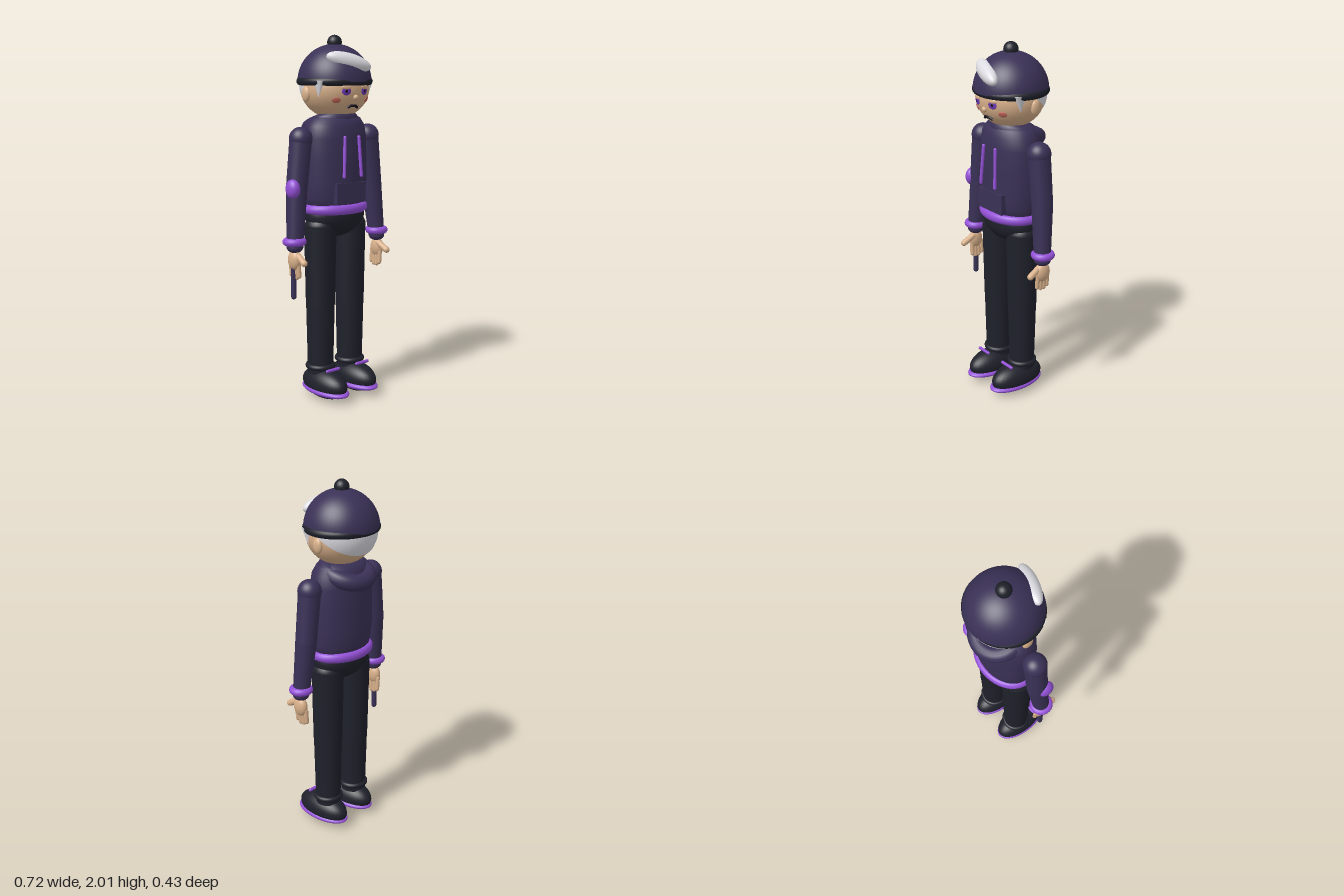
import * as THREE from 'three';

const mat = (name, color, side = THREE.FrontSide) => {
  const m = new THREE.MeshStandardMaterial({ color, side });
  m.name = name;
  return m;
};

export function createModel() {
  const root = new THREE.Group();
  root.name = 'figure';
  const cloth = mat('dark violet cloth', 0x3a3156);
  const black = mat('charcoal', 0x1f212b);
  const purple = mat('purple trim', 0x9350d6);
  const skin = mat('skin', 0xd8b08a);
  const white = mat('pale hair', 0xdcdce2, THREE.DoubleSide);
  const blush = mat('blush', 0xc46a5c);
  const ink = mat('ink', 0x17141f);
  const iris = mat('iris', 0x7038b8);

  const V = (x, y, z) => new THREE.Vector3(x, y, z);
  const add = (name, geo, material, x = 0, y = 0, z = 0, parent = root) => {
    const m = new THREE.Mesh(geo, material);
    m.name = name;
    m.position.set(x, y, z);
    parent.add(m);
    return m;
  };
  // Ellipsoid with radii r
  const ball = (name, material, p, r, parent) => {
    const m = add(name, new THREE.SphereGeometry(1, 32, 20), material, ...p, parent);
    m.scale.set(...r);
    return m;
  };
  // Tapered round bar between two points
  const limb = (name, material, a, b, ra, rb, parent) => {
    const A = V(...a), B = V(...b), d = B.clone().sub(A);
    const m = add(name, new THREE.CylinderGeometry(rb, ra, d.length(), 28), material,
      ...A.clone().add(B).multiplyScalar(0.5).toArray(), parent);
    m.quaternion.setFromUnitVectors(V(0, 1, 0), d.normalize());
    return m;
  };
  // Round-ended bar
  const capsule = (name, material, a, b, r, parent) => {
    const A = V(...a), B = V(...b), d = B.clone().sub(A);
    const m = add(name, new THREE.CapsuleGeometry(r, d.length(), 6, 14), material,
      ...A.clone().add(B).multiplyScalar(0.5).toArray(), parent);
    m.quaternion.setFromUnitVectors(V(0, 1, 0), d.normalize());
    return m;
  };
  // Horizontal ring
  const ring = (name, material, p, R, t, parent, depth = 1) => {
    const m = add(name, new THREE.TorusGeometry(R, t, 16, 48).rotateX(Math.PI / 2), material, ...p, parent);
    m.scale.z = depth;
    return m;
  };

  // Head
  const hc = V(0, 1.71, -0.01), hr = V(0.193, 0.16, 0.177);
  ball('head', skin, hc.toArray(), hr.toArray());
  // Thin plate lying on the face at x, y
  const onFace = (name, material, x, y, rx, ry, lift = 0, thick = 0.005) => {
    const u = x / hr.x, v = (y - hc.y) / hr.y;
    const w = Math.sqrt(1 - u * u - v * v);
    const n = V(u / hr.x, v / hr.y, w / hr.z).normalize();
    const p = V(x, y, hc.z + w * hr.z).addScaledVector(n, lift);
    const m = ball(name, material, p.toArray(), [rx, ry, thick]);
    m.lookAt(p.clone().add(n));
    return m;
  };
  for (const s of [-1, 1]) {
    onFace('eye', iris, s * 0.062, 1.702, 0.026, 0.022, 0.001);
    onFace('pupil', ink, s * 0.062, 1.702, 0.011, 0.011, 0.003, 0.004);
    onFace('eyelid', skin, s * 0.062, 1.722, 0.029, 0.012, 0.003, 0.006);
    onFace('cheek', blush, s * 0.105, 1.655, 0.024, 0.017);
    ball('ear', skin, [s * 0.19, 1.685, -0.025], [0.018, 0.042, 0.03]);
    // Pointed lock in front of the ear
    const lock = add('sideLock', new THREE.ConeGeometry(0.042, 0.09, 20), white, s * 0.172, 1.712, 0.06);
    lock.rotation.x = Math.PI;
    lock.scale.x = 0.5;
  }
  ball('nose', skin, [0, 1.668, 0.163], [0.015, 0.015, 0.013]);
  const lips = new THREE.CatmullRomCurve3([V(-0.034, 1.614, 0.132), V(-0.018, 1.623, 0.139),
    V(0.018, 1.623, 0.139), V(0.034, 1.614, 0.132)]);
  add('mouth', new THREE.TubeGeometry(lips, 16, 0.008, 8), ink);

  // Hair at the back, a tilted half shell
  const hair = add('backHair', new THREE.SphereGeometry(0.194, 40, 16, 0, Math.PI * 2, 0, Math.PI / 2),
    white, 0, 1.74, -0.014);
  hair.rotation.x = -0.63;

  // Cap
  add('capDome', new THREE.SphereGeometry(0.202, 48, 20, 0, Math.PI * 2, 0, Math.PI / 2),
    cloth, 0, 1.75, -0.015);
  ring('capRim', black, [0, 1.752, -0.015], 0.19, 0.022, root, 0.95);
  ball('capButton', black, [0, 1.96, -0.015], [0.04, 0.04, 0.04]);
  ball('capPatch', white, [-0.02, 1.855, 0.128], [0.13, 0.046, 0.045]).rotation.set(0, -0.35, -0.25);

  // Hoodie body
  const profile = [[0, 1.575], [0.11, 1.572], [0.155, 1.555], [0.182, 1.515], [0.194, 1.45], [0.196, 1.35],
    [0.197, 1.2], [0.188, 1.12], [0.172, 1.05], [0, 1.05]].reverse();
  add('hoodieBody', new THREE.LatheGeometry(profile.map(p => new THREE.Vector2(...p)), 48),
    cloth, 0, 0, -0.012).scale.z = 0.71;
  ring('hood', cloth, [0, 1.515, -0.055], 0.115, 0.046).rotation.x = -0.33;
  ring('hoodieHem', purple, [0, 1.062, -0.012], 0.173, 0.027, root, 0.76);
  add('frontPocket', new THREE.BoxGeometry(0.2, 0.112, 0.04), cloth, 0, 1.153, 0.112);
  capsule('drawstring', purple, [-0.049, 1.455, 0.132], [-0.063, 1.245, 0.143], 0.009);
  capsule('drawstring', purple, [0.049, 1.455, 0.132], [0.059, 1.245, 0.143], 0.009);

  // Hips
  ball('hips', black, [0, 1.02, -0.012], [0.187, 0.122, 0.124]);

  for (const s of [-1, 1]) {
    // Leg
    const leg = new THREE.Group();
    leg.name = s > 0 ? 'leftLeg' : 'rightLeg';
    root.add(leg);
    ball('legTop', black, [s * 0.106, 0.96, -0.01], [0.089, 0.07, 0.089], leg);
    limb('thigh', black, [s * 0.106, 0.97, -0.01], [s * 0.107, 0.52, -0.01], 0.09, 0.081, leg);
    limb('shin', black, [s * 0.107, 0.53, -0.01], [s * 0.107, 0.13, -0.01], 0.08, 0.071, leg);
    ring('trouserCuff', black, [s * 0.107, 0.17, -0.01], 0.069, 0.016, leg);
    // Shoe
    ball('shoe', black, [s * 0.107, 0.075, 0.028], [0.085, 0.085, 0.17], leg);
    ball('sole', purple, [s * 0.106, 0.04, 0.033], [0.09, 0.031, 0.178], leg);
    capsule('shoeStrap', purple, [s * 0.107 - 0.04, 0.166, 0.1], [s * 0.107 + 0.04, 0.166, 0.1], 0.009, leg);

    // Arm
    const arm = new THREE.Group();
    arm.name = s > 0 ? 'leftArm' : 'rightArm';
    root.add(arm);
    const elbow = [s * 0.268, 1.18, -0.01];
    ball('shoulder', cloth, [s * 0.238, 1.45, -0.01], [0.064, 0.064, 0.064], arm);
    limb('upperSleeve', cloth, [s * 0.238, 1.45, -0.01], elbow, 0.061, 0.058, arm);
    ball('elbow', cloth, elbow, [0.058, 0.058, 0.058], arm);
    limb('lowerSleeve', cloth, elbow, [s * 0.296, 0.87, 0.008], 0.058, 0.045, arm);
    ball('sleeveEnd', cloth, [s * 0.296, 0.872, 0.008], [0.045, 0.032, 0.045], arm);
    ring('sleeveCuff', purple, [s * 0.297, 0.902, 0.006], 0.044, 0.021, arm);
    // Hand
    ball('palm', skin, [s * 0.3, 0.802, 0.008], [0.029, 0.055, 0.045], arm);
    for (let i = 0; i < 4; i++) {
      const z = 0.038 - i * 0.022;
      capsule('finger', skin, [s * 0.296, 0.785, z], [s * 0.291, i % 3 ? 0.704 : 0.716, z], 0.0125, arm);
    }
    capsule('thumb', skin, [s * 0.293, 0.828, 0.03], [s * 0.298, 0.795, 0.092], 0.018, arm);
  }

  // Elbow pad and held stick on the right arm
  ball('elbowPad', purple, [-0.31, 1.188, 0.012], [0.035, 0.053, 0.046]);
  capsule('stick', cloth, [-0.303, 0.82, 0.005], [-0.303, 0.599, 0.005], 0.015);
  return root;
}
